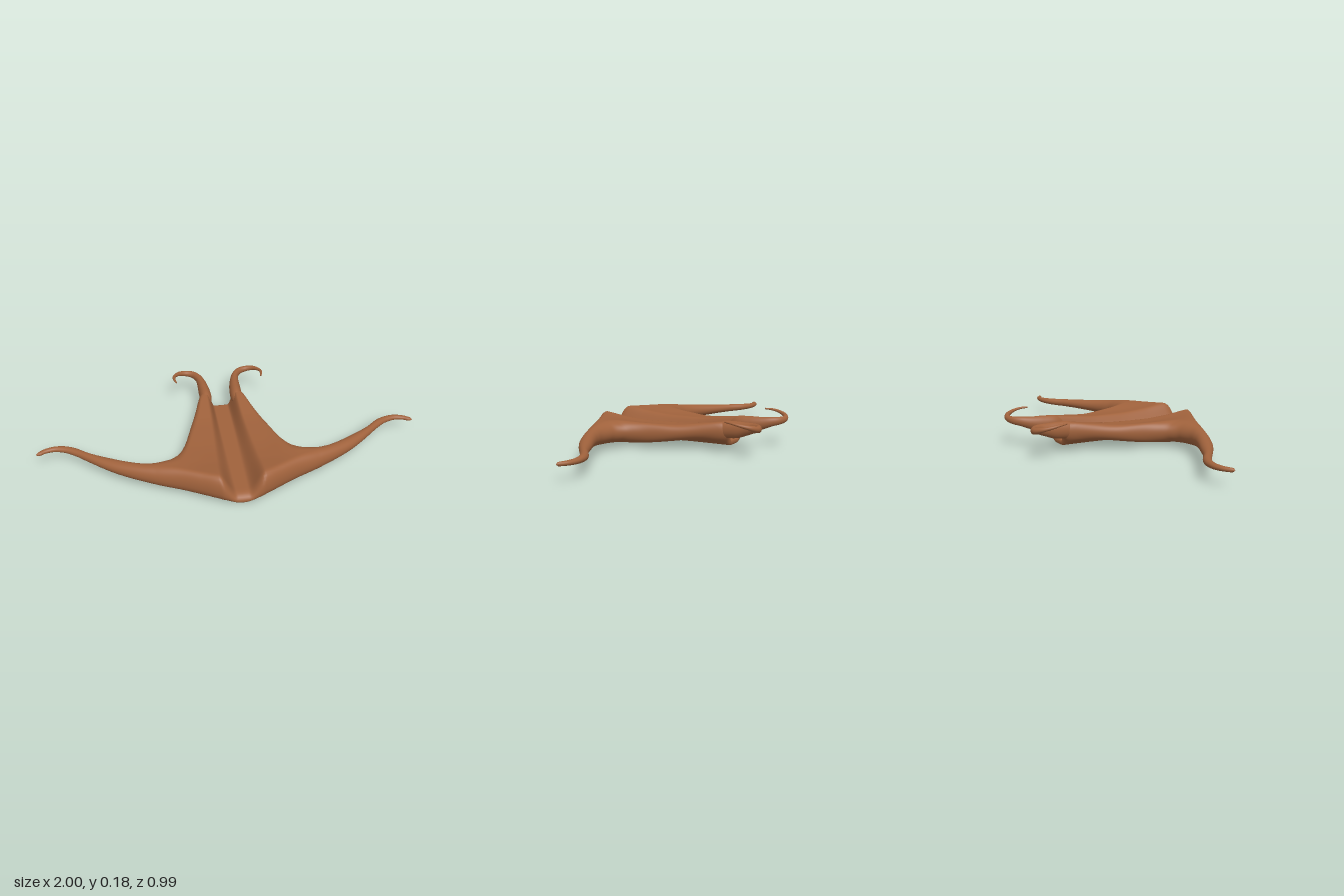
import * as THREE from 'three';

const material = new THREE.MeshStandardMaterial({ color: 0xa0623c });
const smooth = (a, b, v) => {
  const t = Math.min(1, Math.max(0, (v - a) / (b - a)));
  return t * t * (3 - 2 * t);
};
const lerp = THREE.MathUtils.lerp;

// Smooth function through [x, y] points (monotone slopes, no overshoot)
function curve(pts) {
  const n = pts.length;
  const sec = pts.slice(1).map((p, i) => (p[1] - pts[i][1]) / (p[0] - pts[i][0]));
  const slope = pts.map((p, i) => {
    if (i === 0) return sec[0];
    if (i === n - 1) return sec[n - 2];
    const a = sec[i - 1], b = sec[i];
    return a * b <= 0 ? 0 : (2 * a * b) / (a + b);
  });
  return (x) => {
    let i = 0;
    while (i < n - 2 && x > pts[i + 1][0]) i++;
    const h = pts[i + 1][0] - pts[i][0], t = (x - pts[i][0]) / h;
    const t2 = t * t, t3 = t2 * t;
    return (2 * t3 - 3 * t2 + 1) * pts[i][1] + (t3 - 2 * t2 + t) * h * slope[i]
      + (3 * t2 - 2 * t3) * pts[i + 1][1] + (t3 - t2) * h * slope[i + 1];
  };
}

// Skin a list of closed rings into one smooth mesh
function loft(name, rings) {
  const m = rings[0].length, index = [];
  for (let r = 0; r < rings.length - 1; r++) {
    for (let i = 0; i < m; i++) {
      const j = (i + 1) % m;
      const a = r * m + i, b = a + m, c = r * m + j, d = c + m;
      index.push(a, b, c, b, d, c);
    }
  }
  const geo = new THREE.BufferGeometry();
  geo.setAttribute('position', new THREE.Float32BufferAttribute(rings.flat(2), 3));
  geo.setIndex(index);
  geo.computeVertexNormals();
  const mesh = new THREE.Mesh(geo, material);
  mesh.name = name;
  return mesh;
}

// Plan outline: leading and trailing edge z across the half span
const leading = curve([[0, 0.495], [0.09, 0.493], [0.12, 0.482], [0.2, 0.44], [0.3, 0.39], [0.4, 0.35],
  [0.51, 0.3], [0.6, 0.25], [0.67, 0.2], [0.74, 0.142], [0.8, 0.092], [0.86, 0.055], [0.91, 0.043],
  [0.95, 0.05], [0.985, 0.067], [1, 0.062]]);
const trailing = curve([[0, -0.28], [0.06, -0.283], [0.1, -0.295], [0.115, -0.28], [0.13, -0.24], [0.16, -0.14],
  [0.2, -0.02], [0.25, 0.13], [0.29, 0.2], [0.34, 0.235], [0.41, 0.245], [0.47, 0.233], [0.52, 0.213],
  [0.62, 0.16], [0.73, 0.097], [0.81, 0.037], [0.86, 0.018], [0.9, 0.013], [0.95, 0.022], [0.985, 0.043], [1, 0.062]]);

// Heights: ridge along the body, wing top and bottom along the span
const ridge = curve([[-0.32, 0.165], [-0.15, 0.143], [0, 0.13], [0.15, 0.129], [0.3, 0.138], [0.45, 0.158], [0.5, 0.16]]);
const wingTop = curve([[0, 0.16], [0.15, 0.16], [0.3, 0.15], [0.5, 0.125], [0.7, 0.108], [0.9, 0.1], [1, 0.095]]);
const wingBottom = curve([[0, 0.025], [0.1, 0.028], [0.3, 0.03], [0.5, 0.045], [0.7, 0.06], [0.9, 0.072], [1, 0.077]]);
const backRound = curve([[0, 0.008], [0.06, 0.01], [0.11, 0.06], [0.16, 0.11], [0.25, 0.11], [0.4, 0.06], [1, 0.05]]);

function topY(x, z) {
  const y = lerp(ridge(z), wingTop(x), smooth(0.15, 0.36, x));
  const front = smooth(-0.28, 0.49, z);
  const floor = 0.055;
  return floor + (y - floor) * smooth(lerp(0.038, 0.028, front), lerp(0.08, 0.115, front), x);
}

function bottomY(x, z) {
  const dip = 0.022 * smooth(0.35, 0.49, z) * (1 - smooth(0, 0.13, x));
  const rise = 0.045 * smooth(0.03, 0.15, x) * (1 - smooth(-0.3, 0.2, z)) * (1 - smooth(0.3, 0.5, x));
  return wingBottom(x) - dip + rise;
}

// Fore-and-aft section of the body at span position x
function section(x, steps = 44) {
  const ax = Math.abs(x), zf = leading(ax), zb = trailing(ax), chord = zf - zb;
  const rb = Math.min(chord / 2, backRound(ax)) + 1e-6;
  const point = (t, top) => {
    const z = lerp(zf, zb, (1 - Math.cos(Math.PI * t)) / 2);
    const rf = Math.min(chord / 2, top ? 0.05 : 0.03) + 1e-6;
    const f = Math.max(0, 1 - (zf - z) / rf), b = Math.max(0, 1 - (z - zb) / rb);
    const e = Math.sqrt(Math.max(0, 1 - f * f - b * b));
    const yt = topY(ax, z), yb = bottomY(ax, z);
    const mid = lerp(yb, yt, lerp(0.5, 0.35, smooth(0.2, 0.49, z)));
    return [x, lerp(mid, top ? yt : yb, e), z];
  };
  const ring = [];
  for (let i = 0; i < steps; i++) ring.push(point(i / steps, true));
  for (let i = steps; i > 0; i--) ring.push(point(i / steps, false));
  return ring;
}

// Curled horn: x, y, z, half width, half height along its path
const hornPath = [
  [0.09, 0.1, -0.2, 0.022, 0.028], [0.086, 0.116, -0.27, 0.033, 0.045], [0.088, 0.121, -0.33, 0.031, 0.043],
  [0.094, 0.131, -0.39, 0.025, 0.033], [0.106, 0.14, -0.435, 0.019, 0.025], [0.133, 0.145, -0.471, 0.016, 0.02],
  [0.175, 0.15, -0.484, 0.015, 0.016], [0.217, 0.161, -0.467, 0.012, 0.012], [0.244, 0.173, -0.425, 0.009, 0.008],
  [0.248, 0.181, -0.385, 0.007, 0.006], [0.24, 0.184, -0.345, 0.004, 0.004]];

function horn(name, side, steps = 70, sides = 20) {
  const path = new THREE.CatmullRomCurve3(hornPath.map((p) => new THREE.Vector3(p[0], p[1], p[2])));
  const up = new THREE.Vector3(0, 1, 0), last = hornPath.length - 1;
  const width = curve(hornPath.map((p, i) => [i / last, p[3]]));
  const height = curve(hornPath.map((p, i) => [i / last, p[4]]));
  const rings = [];
  for (let s = 0; s <= steps + 1; s++) {
    const t = Math.min(1, s / steps), close = s > steps ? 0 : 1;
    const c = path.getPoint(t), dir = path.getTangent(t);
    const across = dir.clone().cross(up).normalize();
    const rise = across.clone().cross(dir).normalize();
    const ring = [];
    for (let i = 0; i < sides; i++) {
      const a = side * (i / sides) * Math.PI * 2;
      const p = c.clone().addScaledVector(across, Math.cos(a) * width(t) * close)
        .addScaledVector(rise, Math.sin(a) * height(t) * close);
      ring.push([p.x * side, p.y, p.z]);
    }
    rings.push(ring);
  }
  return loft(name, rings);
}

export function createModel() {
  const group = new THREE.Group();
  group.name = 'hornedWing';

  // Channelled body and both swept wings in one skin
  const rings = [], n = 110;
  for (let i = -n; i <= n; i++) rings.push(section(Math.sign(i) * Math.pow(Math.abs(i) / n, 1.25)));
  group.add(loft('bodyAndWings', rings));

  // Pair of curled rear horns
  group.add(horn('leftHorn', 1), horn('rightHorn', -1));
  return group;
}
